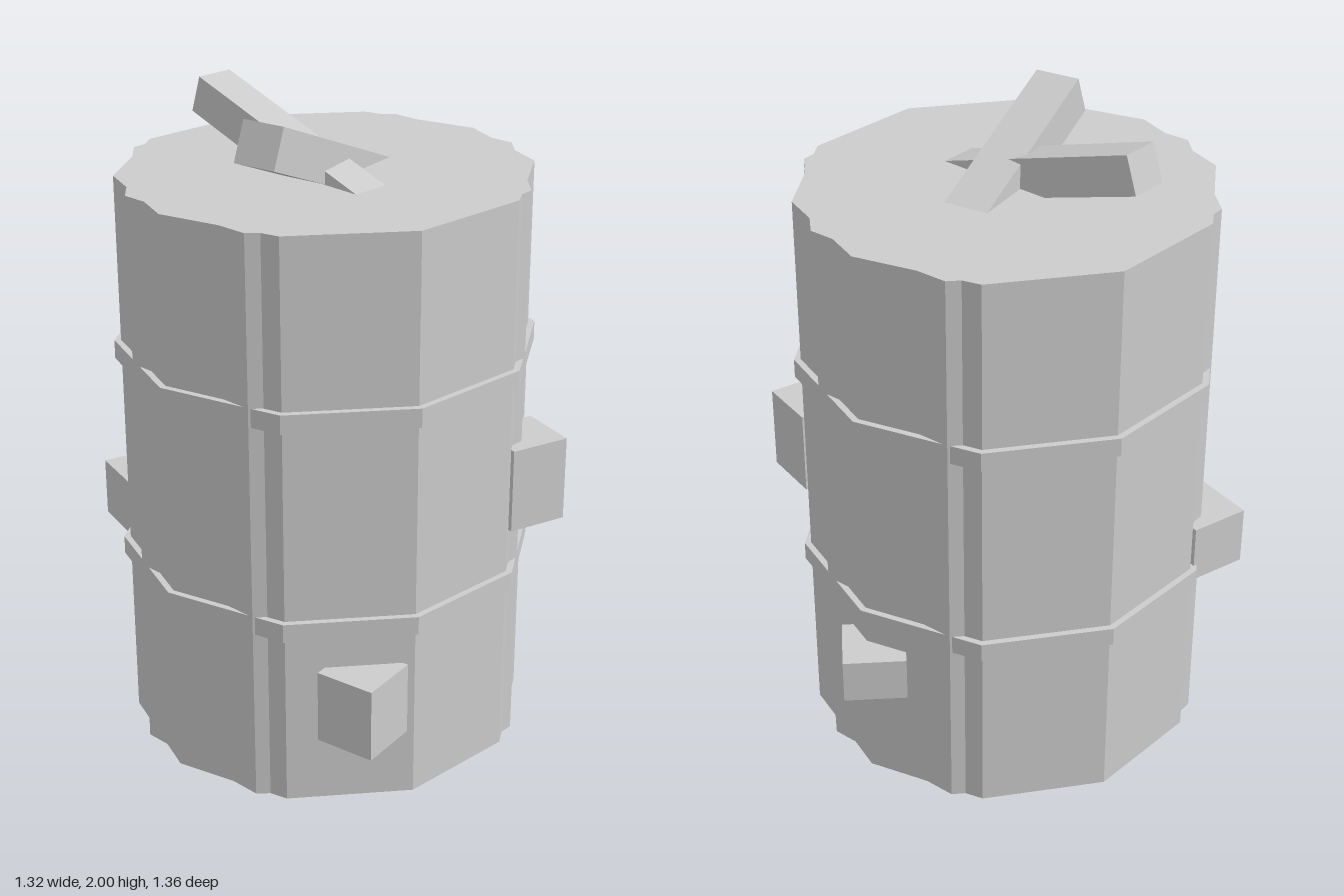
import * as THREE from 'three';

const rad = THREE.MathUtils.degToRad;
const CX = -0.04, CZ = -0.04; // trunk axis

// Flat-sided vertical prism from [angle, radius] points, angle measured from the front
function prism(polar, y, height) {
  const pts = polar.map(([a, r]) => new THREE.Vector2(r * Math.sin(rad(a)), r * Math.cos(rad(a))));
  const g = new THREE.ExtrudeGeometry(new THREE.Shape(pts), { depth: height, bevelEnabled: false });
  return g.rotateX(-Math.PI / 2).translate(CX, y, CZ);
}

export function createModel() {
  const model = new THREE.Group();
  model.name = 'log';
  const grey = new THREE.MeshStandardMaterial({ color: 0xcccccc });
  grey.name = 'grey';
  const add = (name, geometry) => {
    const mesh = new THREE.Mesh(geometry, grey);
    mesh.name = name;
    model.add(mesh);
    return mesh;
  };

  // Trunk: a decagon with the corners of an octagon poking through, mirrored from one quarter
  const quarter = [[0, 0.62], [36, 0.62], [41.2, 0.605], [45, 0.62], [53.75, 0.59], [72, 0.62], [82.9, 0.594], [90, 0.62]];
  const half = [...quarter, ...quarter.slice(0, -1).reverse().map(([a, r]) => [180 - a, r])];
  const outline = [...half, ...half.slice(1, -1).reverse().map(([a, r]) => [360 - a, r])];
  add('trunk', prism(outline, 0, 1.785));

  // Two ten-sided bands
  const ring = Array.from({ length: 10 }, (_, i) => [i * 36, 0.64]);
  add('lowerBand', prism(ring, 0.554, 0.058));
  add('upperBand', prism(ring, 1.216, 0.058));

  // Blocks set into the side: x, bottom, z, height, turn
  const blocks = [
    ['frontBlock', -0.195, 0.22, 0.55, 0.23, 30],
    ['leftBlock', 0.536, 0.347, -0.25, 0.14, -25],
    ['frontLeftBlock', 0.427, 0.74, 0.354, 0.265, 5],
    ['backRightBlock', -0.507, 0.56, -0.433, 0.185, 5],
  ];
  for (const [name, x, y, z, h, turn] of blocks) {
    const block = add(name, new THREE.BoxGeometry(0.19, h, 0.19));
    block.position.set(x, y + h / 2, z);
    block.rotation.y = rad(turn);
  }

  // Slanted beams rising out of the top, each placed by its raised top edge
  const beams = [
    ['wideBeam', -0.31, 0.14, 0.14, 0.125, -0.865, 0.5, 22.4],
    ['narrowBeam', -0.235, -0.42, 0.12, 0.117, -0.338, -0.941, 18],
  ];
  for (const [name, x, z, width, thick, dx, dz, tilt] of beams) {
    const length = 0.85;
    const g = new THREE.BoxGeometry(length, thick, width).translate(-length / 2, -thick / 2, 0);
    const beam = add(name, g);
    beam.position.set(x, 2, z);
    beam.rotation.set(0, Math.atan2(-dz, dx), rad(tilt));
  }
  return model;
}
